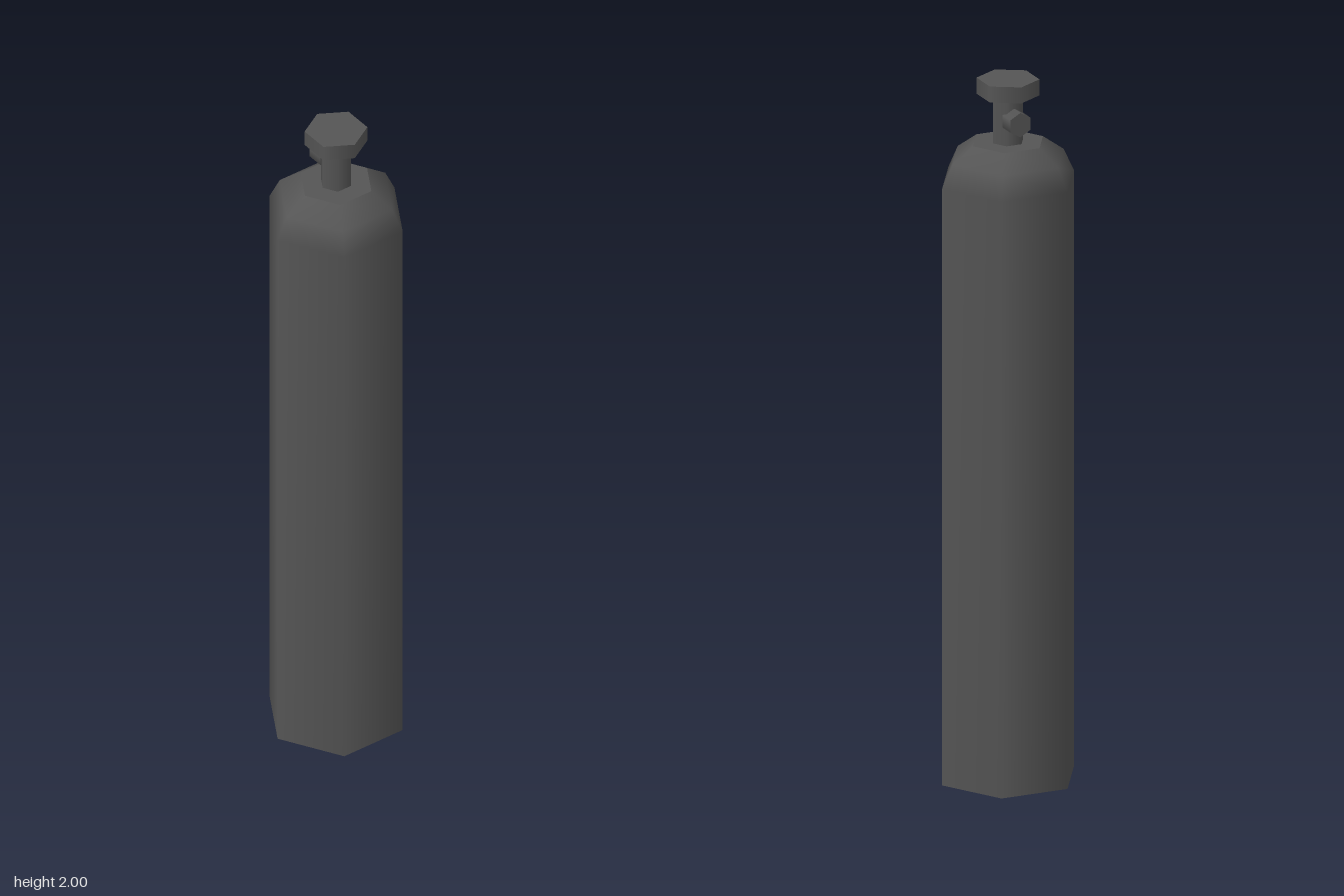
import * as THREE from 'three';

const HEX = 6;

export function createModel() {
  const group = new THREE.Group();
  const material = new THREE.MeshStandardMaterial({ color: 0x555555 });

  const add = (name, geometry, x = 0, y = 0, z = 0) => {
    const mesh = new THREE.Mesh(geometry, material);
    mesh.name = name;
    mesh.position.set(x, y, z);
    group.add(mesh);
    return mesh;
  };

  // Six-sided tank with a rounded shoulder, corners on the x axis
  const profile = [[0.198, 0], [0.198, 1.71], [0.167, 1.775], [0.105, 1.82]]
    .map(([r, y]) => new THREE.Vector2(r, y));
  add('tankBody', new THREE.LatheGeometry(profile, HEX, Math.PI / 2));

  // Flat ends of the tank
  add('tankBase', new THREE.CircleGeometry(0.198, HEX).rotateX(Math.PI / 2));
  add('tankTop', new THREE.CircleGeometry(0.105, HEX).rotateX(-Math.PI / 2), 0, 1.82, 0);

  // Valve stem
  add('valveStem', new THREE.CylinderGeometry(0.045, 0.045, 0.15, HEX, 1, false, Math.PI / 2), 0, 1.885, 0);

  // Hand knob, corners on the z axis
  add('valveKnob', new THREE.CylinderGeometry(0.086, 0.086, 0.046, HEX), 0, 1.977, 0);

  // Outlet pointing to the back
  add('valveOutlet', new THREE.CylinderGeometry(0.035, 0.035, 0.05, HEX).rotateX(Math.PI / 2), 0, 1.89, -0.055);

  return group;
}
